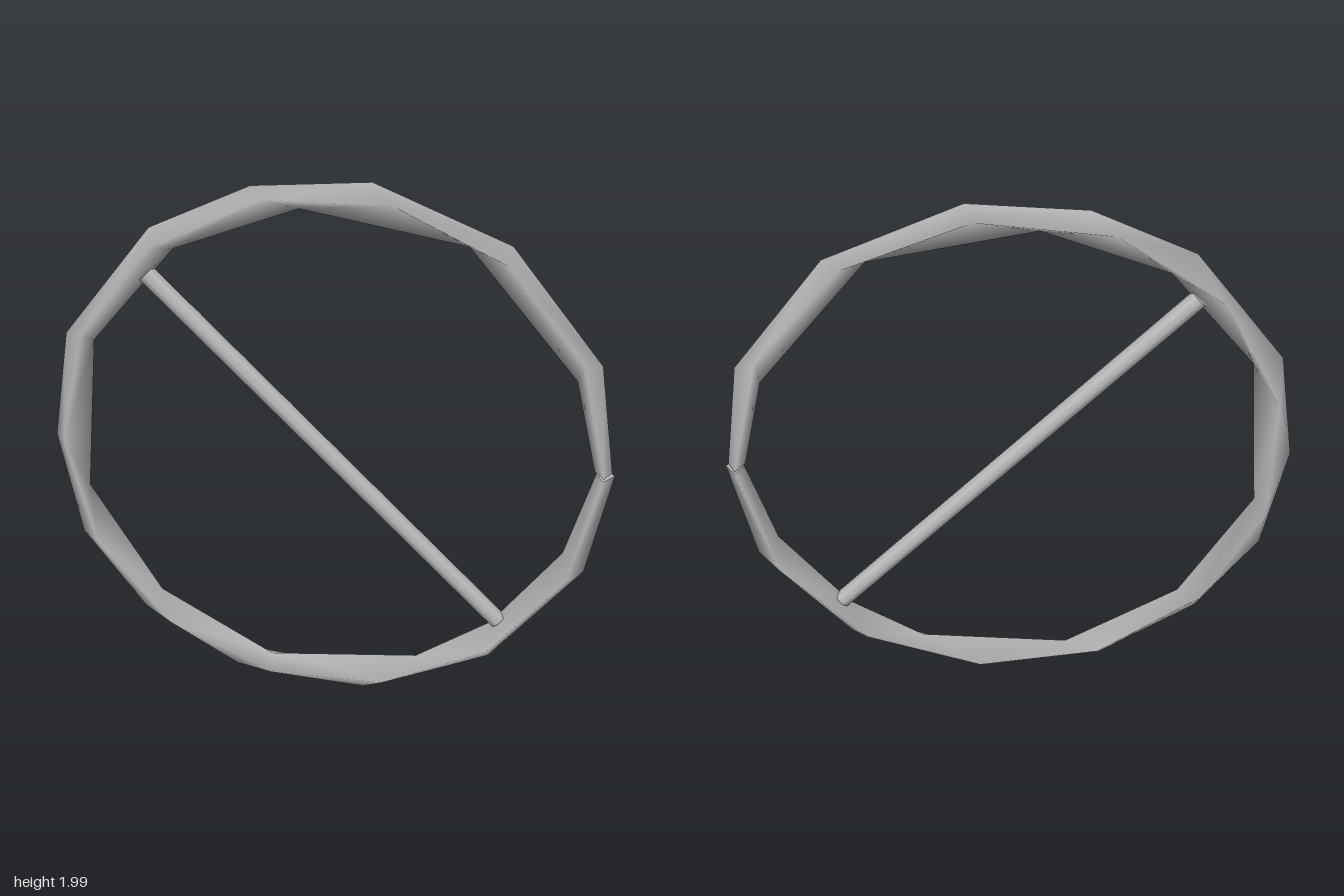
import * as THREE from 'three';

// Corner points of the uneven hoop, relative to its centre, anticlockwise from the gap
const OUTER = [
  [0.985, 0.004], [0.92, 0.4], [0.6, 0.8], [0.14, 0.99], [-0.26, 0.96], [-0.61, 0.8], [-0.93, 0.4], [-1, 0],
  [-0.93, -0.4], [-0.71, -0.71], [-0.36, -0.94], [0.13, -0.995], [0.6, -0.8], [0.92, -0.4], [0.995, -0.006],
];
const INNER = [
  [0.925, 0.004], [0.84, 0.34], [0.46, 0.79], [-0.1, 0.89], [-0.53, 0.73], [-0.83, 0.38], [-0.89, -0.2],
  [-0.64, -0.63], [-0.22, -0.88], [0.33, -0.83], [0.6, -0.65], [0.84, -0.33], [0.93, -0.006],
];

// Evenly spaced rail for the front or back ridge of the hoop
function sideRail(count, radius) {
  const rail = [];
  for (let i = 0; i <= count; i++) {
    const a = 0.005 + (i / count) * (Math.PI * 2 - 0.011);
    rail.push([radius * Math.cos(a), radius * Math.sin(a)]);
  }
  return rail;
}

const angleOf = ([x, y]) => (Math.atan2(y, x) + Math.PI * 2) % (Math.PI * 2);

// Skin four rails, each with its own spacing, into one closed bar
function hoopGeometry() {
  const rails = [
    { points: OUTER, z: 0 },
    { points: sideRail(14, 0.955), z: 0.053 },
    { points: INNER, z: 0 },
    { points: sideRail(13, 0.955), z: -0.053 },
  ];
  const positions = [];
  const index = [];
  for (const rail of rails) {
    rail.start = positions.length / 3;
    for (const [x, y] of rail.points) positions.push(x, y, rail.z);
  }

  // Zip neighbouring rails together, always advancing the one that lags behind
  rails.forEach((a, k) => {
    const b = rails[(k + 1) % 4];
    let i = 0;
    let j = 0;
    while (i < a.points.length - 1 || j < b.points.length - 1) {
      const nextA = i < a.points.length - 1 ? angleOf(a.points[i + 1]) : Infinity;
      const nextB = j < b.points.length - 1 ? angleOf(b.points[j + 1]) : Infinity;
      if (nextA <= nextB) {
        index.push(a.start + i, a.start + i + 1, b.start + j);
        i++;
      } else {
        index.push(a.start + i, b.start + j + 1, b.start + j);
        j++;
      }
    }
  });

  // Flat caps at the two sides of the gap
  for (const atEnd of [false, true]) {
    const n = positions.length / 3;
    for (const { points, z } of rails) {
      const [x, y] = points[atEnd ? points.length - 1 : 0];
      positions.push(x, y, z);
    }
    if (atEnd) index.push(n, n + 2, n + 1, n, n + 3, n + 2);
    else index.push(n, n + 1, n + 2, n, n + 2, n + 3);
  }

  const geometry = new THREE.BufferGeometry();
  geometry.setAttribute('position', new THREE.Float32BufferAttribute(positions, 3));
  geometry.setIndex(index);
  geometry.computeVertexNormals();
  return geometry;
}

export function createModel() {
  const model = new THREE.Group();
  model.name = 'slashedRing';
  const grey = new THREE.MeshStandardMaterial({ color: 0xb8b8b8 });
  grey.name = 'grey';

  // Split hoop
  const hoop = new THREE.Mesh(hoopGeometry(), grey);
  hoop.name = 'hoop';
  hoop.position.y = 1;
  model.add(hoop);

  // Diagonal bar from upper right-hand side to lower left-hand side
  const bar = new THREE.Mesh(new THREE.CylinderGeometry(0.034, 0.034, 1.79, 8), grey);
  bar.name = 'diagonalBar';
  bar.position.y = 1;
  bar.rotation.z = Math.PI / 4 - 0.008;
  model.add(bar);

  return model;
}
